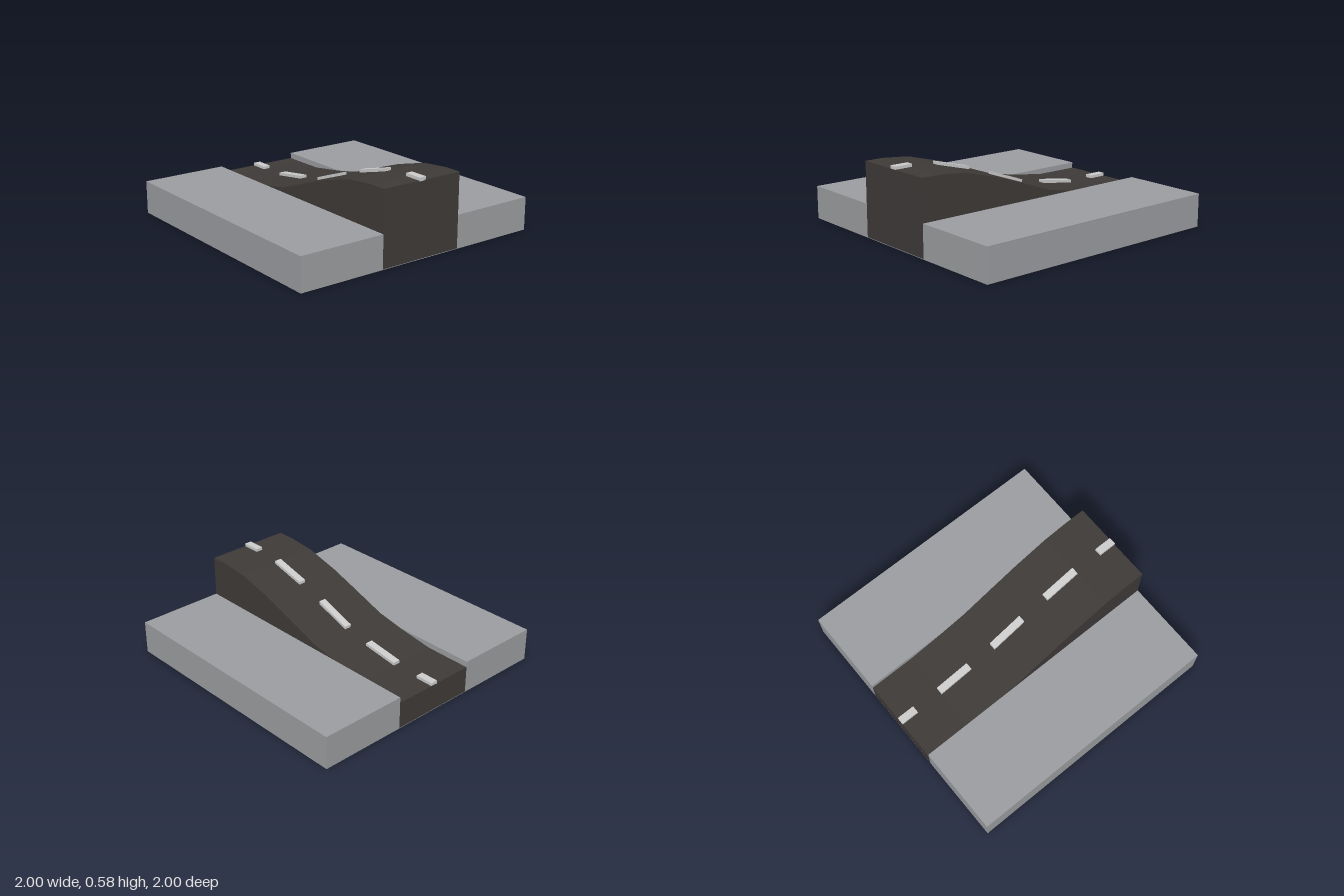
import * as THREE from 'three';

const ROAD_HALF = 0.333, SLAB_TOP = 0.25, FLOOR = 0.004;

// Road surface as [z, y], from the high front to the low back
const PROFILE = [
  [1, 0.56], [0.86, 0.56], [0.64, 0.54], [0.36, 0.466], [0.14, 0.39],
  [-0.14, 0.29], [-0.36, 0.248], [-0.64, 0.208], [-0.86, 0.206], [-1, 0.206],
];

// Extrude a [z, y] outline across x, centred on x = 0
function extrudeAcross(points, width) {
  const shape = new THREE.Shape(points.map(([z, y]) => new THREE.Vector2(z, y)));
  const geometry = new THREE.ExtrudeGeometry(shape, { depth: width, bevelEnabled: false });
  return geometry.translate(0, 0, -width / 2).rotateY(-Math.PI / 2);
}

function addPart(group, name, geometry, color) {
  const material = new THREE.MeshStandardMaterial({ color, flatShading: true });
  const mesh = new THREE.Mesh(geometry, material);
  mesh.name = name;
  group.add(mesh);
}

export function createModel() {
  const group = new THREE.Group();
  group.name = 'roadRamp';

  // Pavement slabs on both sides, joined by a thin floor under the road
  const section = new THREE.Shape([
    [-1, 0], [1, 0], [1, SLAB_TOP], [ROAD_HALF, SLAB_TOP], [ROAD_HALF, FLOOR],
    [-ROAD_HALF, FLOOR], [-ROAD_HALF, SLAB_TOP], [-1, SLAB_TOP],
  ].map(([x, y]) => new THREE.Vector2(x, y)));
  const slabs = new THREE.ExtrudeGeometry(section, { depth: 2, bevelEnabled: false });
  addPart(group, 'pavement', slabs.translate(0, 0, -1), 0x9b9da0);

  // Solid road climbing in a soft S curve
  addPart(group, 'road', extrudeAcross([...PROFILE, [-1, FLOOR], [1, FLOOR]], ROAD_HALF * 2), 0x3e3a38);

  // Raised dashes lie on every second stretch of the road
  for (let i = 0; i < PROFILE.length; i += 2) {
    const [z0, y0] = PROFILE[i], [z1, y1] = PROFILE[i + 1];
    const dash = [[z0, y0 - 0.005], [z0, y0 + 0.022], [z1, y1 + 0.022], [z1, y1 - 0.005]];
    addPart(group, 'laneDash', extrudeAcross(dash, 0.056), 0xcccccc);
  }
  return group;
}
